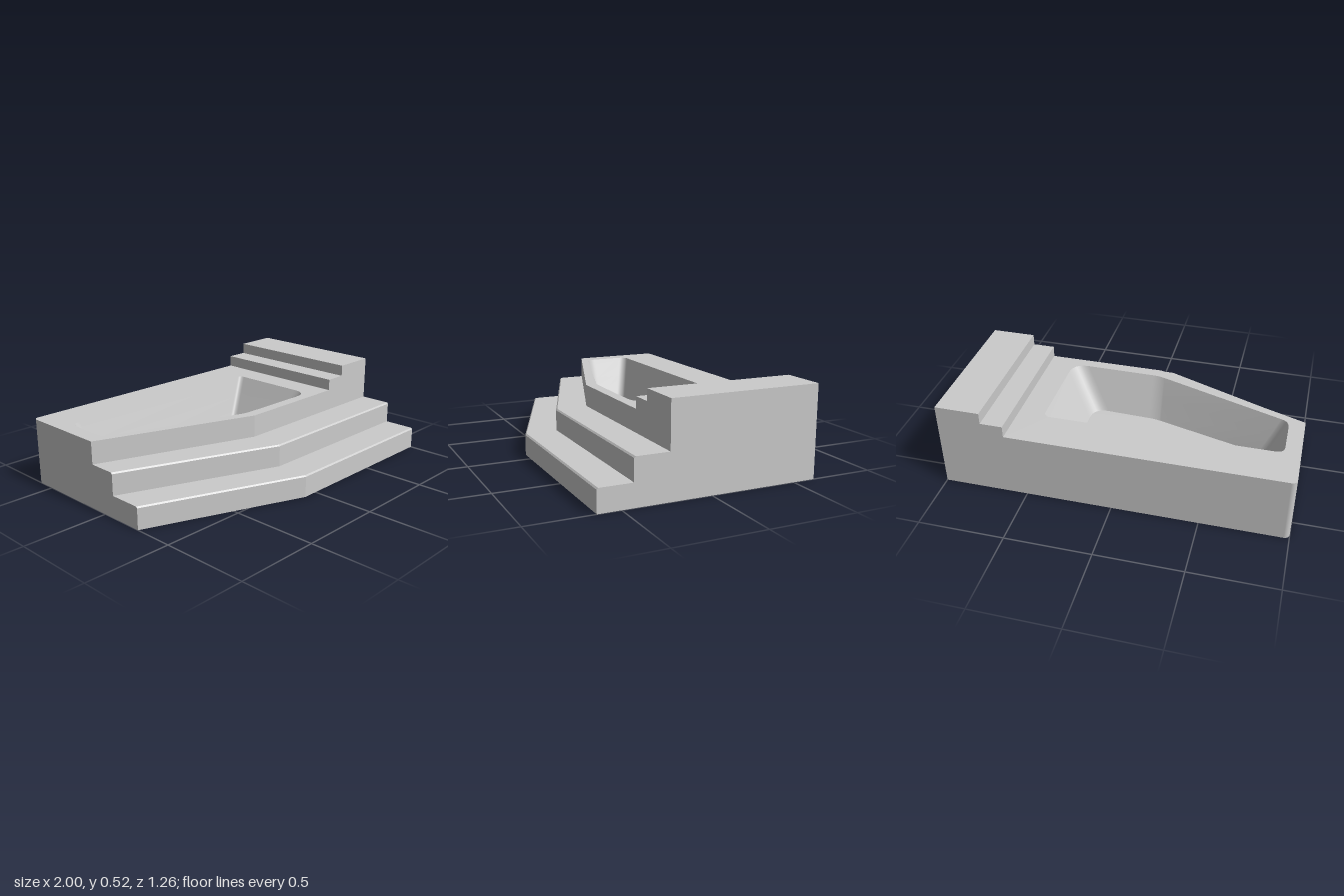
import * as THREE from 'three';

const RIM = 0.39, BACK = -0.63, FLOOR = 0.13, R = 0.03;
const material = new THREE.MeshStandardMaterial({ color: 0xcccccc, side: THREE.DoubleSide });
const v2 = (p) => new THREE.Vector2(p[0], p[1]);

function mesh(name, geometry) {
  const m = new THREE.Mesh(geometry, material);
  m.name = name;
  return m;
}

// Flat panel from a 2D outline, turned and then moved into place
function panel(name, pts, [rx, ry], [x, y, z], hole) {
  const shape = new THREE.Shape(pts.map(v2));
  if (hole) shape.holes.push(new THREE.Path(hole.map(v2)));
  const g = new THREE.ShapeGeometry(shape).rotateX(rx).rotateY(ry).translate(x, y, z);
  return mesh(name, g);
}

// Skin through rows of points; closed rows wrap around
function loft(name, rows, closed, flat) {
  const n = rows[0].length, index = [];
  for (let r = 0; r < rows.length - 1; r++) {
    for (let i = 0; i < (closed ? n : n - 1); i++) {
      const j = (i + 1) % n, a = r * n + i, b = r * n + j;
      index.push(a, b, a + n, b, b + n, a + n);
    }
  }
  let g = new THREE.BufferGeometry();
  g.setAttribute('position', new THREE.Float32BufferAttribute(rows.flat(2), 3));
  g.setIndex(index);
  if (flat) g = g.toNonIndexed();
  g.computeVertexNormals();
  return mesh(name, g);
}

// Polygon with rounded corners, always the same number of points per corner
function roundLoop(pts, radii, n = 8) {
  const out = [];
  pts.forEach((p, i) => {
    const c = v2(p);
    const toward = (q) => c.clone().add(v2(q).sub(c).setLength(radii[i]));
    const a = toward(pts[(i + pts.length - 1) % pts.length]);
    const b = toward(pts[(i + 1) % pts.length]);
    out.push(...new THREE.QuadraticBezierCurve(a, c, b).getPoints(n).map((q) => [q.x, q.y]));
  });
  return out;
}

// Stepped front section as [z, y], with a small chamfer on each tread edge
function section([z1, z2, z3]) {
  const c = 0.008;
  return [[z1, 0], [z1, 0.13 - c], [z1 - c, 0.13], [z2, 0.13],
    [z2, 0.26 - c], [z2 - c, 0.26], [z3, 0.26], [z3, RIM]];
}

export function createModel() {
  const model = new THREE.Group();
  model.name = 'bathtubWithSteps';
  const up = [-Math.PI / 2, 0];
  const narrow = section([0.27, 0.075, -0.09]);
  const wide = section([0.63, 0.435, 0.24]);

  // Front steps, bent where the straight run meets the slanted one
  const stations = [[-1, narrow], [-0.09, wide], [1, wide]];
  model.add(loft('frontSteps', stations.map(([x, s]) => s.map(([z, y]) => [x, y, z])), false, true));

  // Side and back walls
  const rightEnd = [...wide.slice(0, -1), [0.24, 0.525], [BACK, 0.525], [BACK, 0]];
  model.add(panel('tallEndWall', rightEnd.map(([z, y]) => [-z, y]), [0, Math.PI / 2], [1, 0, 0]));
  const lowEnd = [...narrow, [BACK + R, RIM], [BACK + R, 0]];
  model.add(panel('lowEndWall', lowEnd, [0, -Math.PI / 2], [-1, 0, 0]));
  const ledge = [[0.61, RIM], [0.61, 0.458], [0.74, 0.458], [0.74, 0.525], [1, 0.525]];
  const backWall = [[-1 + R, 0], [-1 + R, RIM], ...ledge, [1, 0]];
  model.add(panel('backWall', backWall.map(([x, y]) => [-x, y]), [0, Math.PI], [0, 0, BACK]));
  const corner = new THREE.CylinderGeometry(R, R, RIM, 8, 1, true, Math.PI, Math.PI / 2);
  model.add(mesh('roundedCorner', corner.translate(-1 + R, RIM / 2, BACK + R)));

  // Raised ledges at the tall end, with their front face
  model.add(loft('ledges', [0.24, BACK].map((z) => ledge.map(([x, y]) => [x, y, z])), false, true));
  model.add(panel('ledgeFront', [...ledge, [1, RIM]], [0, 0], [0, 0, 0.24]));

  // Basin outlines as [x, z] at the rim and at the floor
  const radii = [0.05, 0.03, 0.1, 0.04, 0.05];
  const top = roundLoop([[-0.91, -0.39], [0.46, -0.39], [0.46, 0.18], [-0.09, 0.175], [-0.91, -0.105]], radii);
  const low = roundLoop([[-0.8, -0.32], [0.31, -0.32], [0.31, 0.095], [-0.09, 0.08], [-0.8, -0.11]], radii);

  // Flat rim around the basin
  const bend = Array.from({ length: 9 }, (_, i) => {
    const a = Math.PI + (i / 8) * Math.PI / 2;
    return [-1 + R + R * Math.cos(a), BACK + R + R * Math.sin(a)];
  });
  const outer = [...bend, [0.61, BACK], [0.61, 0.24], [-0.09, 0.24], [-1, -0.09]];
  const flip = ([x, z]) => [x, -z];
  model.add(panel('rim', outer.map(flip), up, [0, RIM, 0], top.map(flip)));

  // Basin walls with a softened foot, then the floor
  const ring = (t, y) => top.map(([x, z], i) => [
    THREE.MathUtils.lerp(x, low[i][0], t), y, THREE.MathUtils.lerp(z, low[i][1], t)]);
  model.add(loft('basinWalls', [ring(0, RIM), ring(0.45, 0.27), ring(0.9, 0.155), ring(1, FLOOR)], true, false));
  model.add(panel('basinFloor', low.map(flip), up, [0, FLOOR, 0]));
  return model;
}
